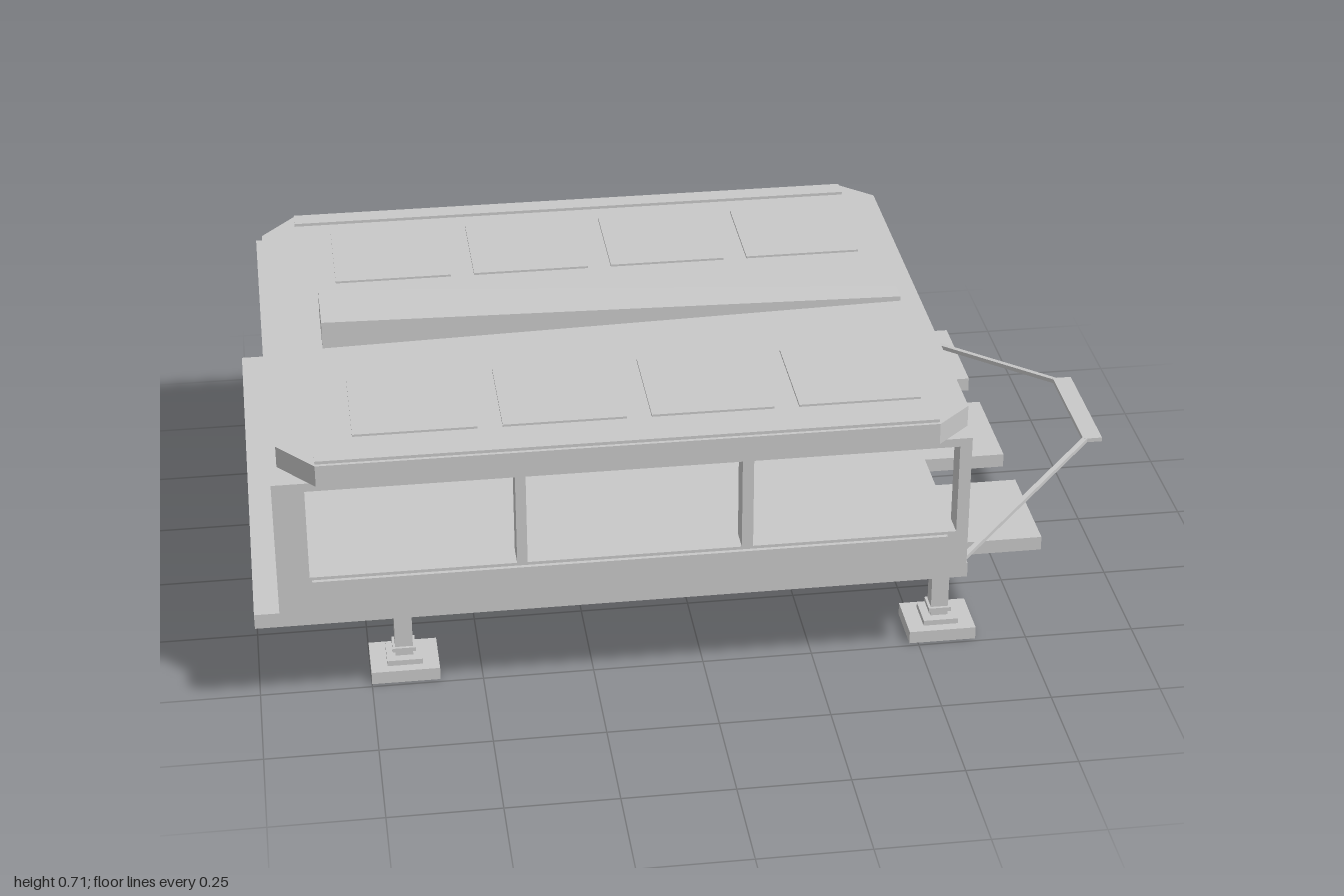
import * as THREE from 'three';

export function createModel() {
  const model = new THREE.Group();
  const grey = new THREE.MeshStandardMaterial({ color: 0xc8c8c8 });
  grey.name = 'light grey';

  const add = (name, geometry, parent = model) => {
    const mesh = new THREE.Mesh(geometry, grey);
    mesh.name = name;
    parent.add(mesh);
    return mesh;
  };
  // Box given by its limits on each axis
  const box = (name, x0, x1, y0, y1, z0, z1, parent) => {
    const mesh = add(name, new THREE.BoxGeometry(x1 - x0, y1 - y0, z1 - z0), parent);
    mesh.position.set((x0 + x1) / 2, (y0 + y1) / 2, (z0 + z1) / 2);
    return mesh;
  };
  const outline = (points) => new THREE.Shape(points.map(([x, y]) => new THREE.Vector2(x, y)));
  const rect = (x0, x1, y0, y1) => [[x0, y0], [x1, y0], [x1, y1], [x0, y1]];
  const extrude = (shape, depth) => new THREE.ExtrudeGeometry(shape, { depth, bevelEnabled: false });

  // Floor with three tabs at the open end
  box('floor', -1, 0.58, 0.24, 0.275, -0.6, 0.6);
  for (const z of [-0.38, 0, 0.38]) box('floorTab', 0.58, 0.77, 0.24, 0.273, z - 0.13, z + 0.13);

  // Long side walls, each with three window openings
  for (const side of [-1, 1]) {
    const wall = outline(rect(-0.945, 0.577, 0.275, 0.595));
    for (const [x0, x1] of [[-0.875, -0.425], [-0.402, 0.07], [0.095, 0.55]]) {
      wall.holes.push(outline(rect(x0, x1, 0.36, 0.575)));
    }
    add('sideWall', extrude(wall, 0.055)).position.z = side > 0 ? 0.545 : -0.6;
    box('sideRail', -0.87, 0.53, 0.337, 0.353, side * 0.604 - 0.005, side * 0.604 + 0.005);
  }

  // End wall with a doorway between two windows
  const endWall = outline([
    [-0.545, 0.275], [-0.17, 0.275], [-0.17, 0.575], [0.17, 0.575],
    [0.17, 0.275], [0.545, 0.275], [0.545, 0.595], [-0.545, 0.595],
  ]);
  endWall.holes.push(outline(rect(-0.545 + 0.002, -0.195, 0.36, 0.575)));
  endWall.holes.push(outline(rect(0.195, 0.545 - 0.002, 0.36, 0.575)));
  const end = add('endWall', extrude(endWall, 0.065));
  end.rotation.y = Math.PI / 2;
  end.position.x = -0.945;

  // Roof slab with cut corners
  const roof = add('roof', extrude(outline([
    [-0.93, -0.52], [-0.85, -0.617], [0.5, -0.617], [0.577, -0.545],
    [0.577, 0.545], [0.5, 0.617], [-0.85, 0.617], [-0.93, 0.52],
  ]), 0.05));
  roof.rotation.x = -Math.PI / 2;
  roof.position.y = 0.595;

  // Raised roof panels and edge rails
  for (const side of [-1, 1]) {
    for (let i = 0; i < 4; i++) {
      const x = -0.63 + i * 0.325;
      box('roofPanel', x - 0.135, x + 0.135, 0.644, 0.65, side * 0.37 - 0.13, side * 0.37 + 0.13);
    }
    box('roofRail', -0.85, 0.5, 0.644, 0.652, side * 0.585 - 0.024, side * 0.585 + 0.024);
  }

  // Roof spine, tapering in width and height toward the open end
  const spine = new THREE.BoxGeometry(1.34, 1, 1);
  const p = spine.attributes.position;
  for (let i = 0; i < p.count; i++) {
    const wide = p.getX(i) < 0;
    p.setXYZ(i, p.getX(i) - 0.14,
      p.getY(i) < 0 ? 0.644 : wide ? 0.71 : 0.656,
      p.getZ(i) * (wide ? 0.166 : 0.056));
  }
  spine.computeVertexNormals();
  add('roofSpine', spine.toNonIndexed()).geometry.computeVertexNormals();

  // Rising tow bars meeting a cross plate
  for (const side of [-1, 1]) {
    const a = new THREE.Vector3(0.57, 0.272, side * 0.58);
    const b = new THREE.Vector3(0.96, 0.308, side * 0.148);
    const bar = add('towBar', new THREE.BoxGeometry(0.012, 0.01, a.distanceTo(b)));
    bar.position.copy(a).lerp(b, 0.5);
    bar.lookAt(b);
  }
  box('towPlate', 0.955, 1, 0.303, 0.313, -0.152, 0.152);

  // Four jack legs: [half width x, half width z, bottom, top]
  const legParts = {
    legSleeve: [0.031, 0.031, 0.152, 0.24],
    legColumn: [0.02, 0.019, 0.04, 0.152],
    legCollar: [0.026, 0.026, 0.056, 0.066],
    legFlange: [0.04, 0.04, 0.03, 0.043],
    legFoot: [0.077, 0.063, 0, 0.03],
  };
  for (const x of [-0.673, 0.557]) {
    for (const z of [-0.427, 0.427]) {
      const leg = new THREE.Group();
      leg.name = 'jackLeg';
      leg.position.set(x, 0, z);
      model.add(leg);
      for (const [name, [w, d, y0, y1]] of Object.entries(legParts)) box(name, -w, w, y0, y1, -d, d, leg);
    }
  }

  return model;
}
